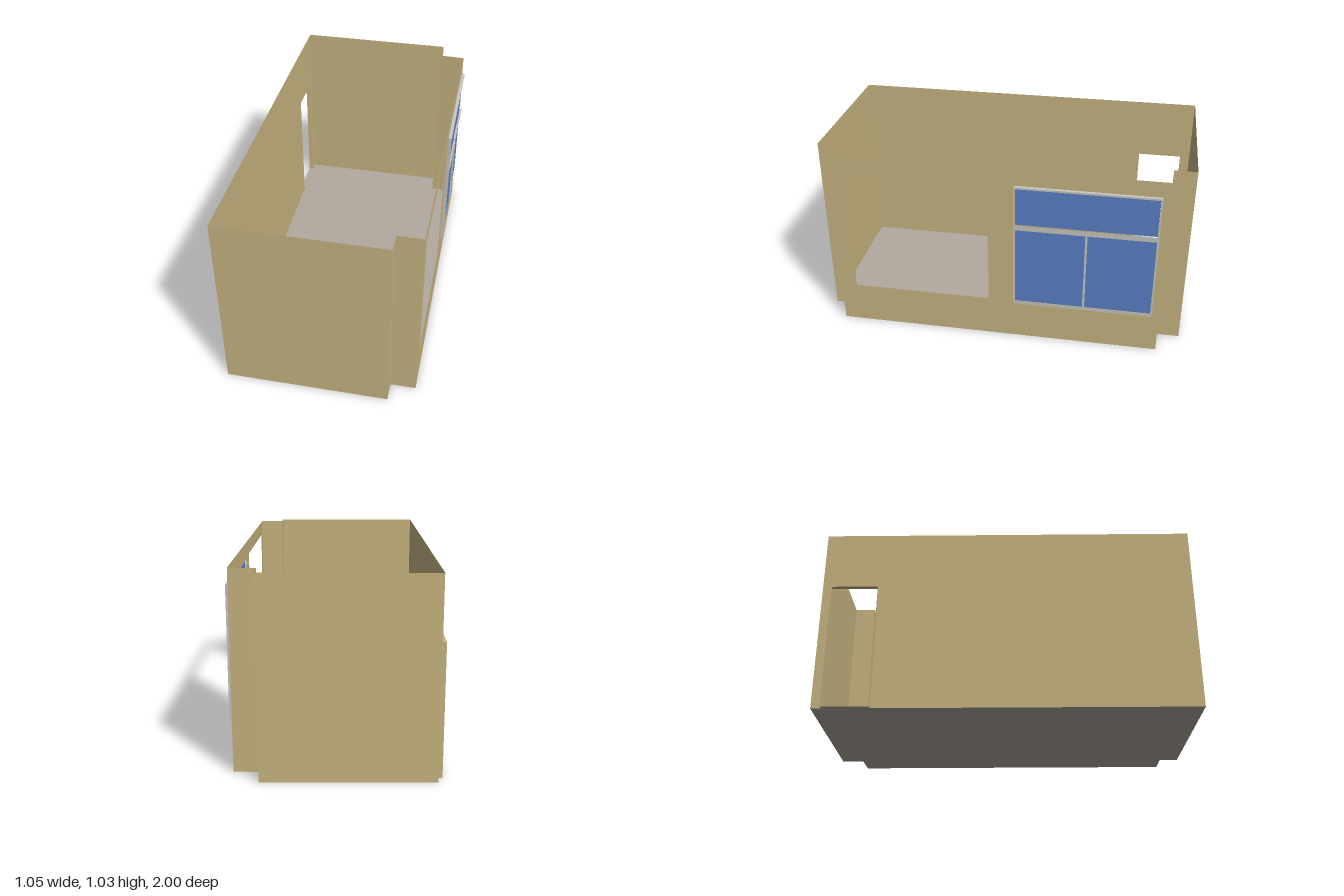
import * as THREE from 'three';

const H = 1.032; // wall height

export function createModel() {
  const room = new THREE.Group();
  room.name = 'room';
  const mat = (name, color, side = THREE.FrontSide) => {
    const m = new THREE.MeshStandardMaterial({ color, side });
    m.name = name;
    return m;
  };
  const wallMat = mat('wall tan', 0xc9b682, THREE.DoubleSide);
  const floorMat = mat('floor grey', 0xb3aaa0, THREE.DoubleSide);
  const frameMat = mat('frame grey', 0xc9c8c4);
  const glassMat = mat('glass blue', 0x5b82c9);

  const polygon = (pts) => new THREE.Shape(pts.map(([x, y]) => new THREE.Vector2(x, y)));
  const add = (name, geometry, material, parent = room) => {
    const mesh = new THREE.Mesh(geometry, material);
    mesh.name = name;
    parent.add(mesh);
    return mesh;
  };

  // Thin upright sheet from plan point a to b; openings are [start, end, bottom, top] along it
  const wall = (name, a, b, { height = H, openings = [] } = {}) => {
    const dx = b[0] - a[0], dz = b[1] - a[1], len = Math.hypot(dx, dz);
    const outline = [[0, 0]], holes = [];
    for (const [s, e, y0, y1] of openings) {
      if (y0 === 0) outline.push([s, 0], [s, y1], [e, y1], [e, 0]);
      else holes.push(polygon([[s, y0], [s, y1], [e, y1], [e, y0]]));
    }
    outline.push([len, 0], [len, height], [0, height]);
    const shape = polygon(outline);
    shape.holes = holes;
    const mesh = add(name, new THREE.ShapeGeometry(shape), wallMat);
    mesh.position.set(a[0], 0, a[1]);
    mesh.rotation.y = Math.atan2(-dz, dx);
  };

  // Room plan, with the window bay stepping out on +x and a door recess on -x
  const L = -0.502, M = 0.369, OUT = -0.528;
  const backBay = [0.507, -0.875], frontBay = [0.503, 0.898];
  const D0 = -0.947, D1 = -0.698, DH = 0.693;

  const floor = add('floor', new THREE.ShapeGeometry(polygon([
    [L, -1], [M, -1], [M, -0.88], backBay, frontBay, [M, 0.898], [M, 1], [L, 1],
    [L, D1], [OUT, D1], [OUT, D0], [L, D0],
  ])), floorMat);
  floor.rotation.x = Math.PI / 2;

  wall('frontWall', [L, 1], [M, 1]);
  wall('frontReturn', [M, 1], [M, 0.898]);
  wall('frontBayEnd', [M, 0.898], frontBay);
  wall('windowWall', backBay, frontBay, {
    openings: [[0.046, 0.784, 0.23, 0.943], [0.928, 1.687, 0.23, 0.949]],
  });
  wall('backBayEnd', [M, -0.88], backBay);
  wall('backReturn', [M, -1], [M, -0.88]);
  wall('backWall', [L, -1], [M, -1]);
  wall('doorWall', [L, -1], [L, 1], { openings: [[D0 + 1, D1 + 1, 0, DH]] });

  // Door surround: two side sheets and a lintel
  for (const z of [D0, D1]) wall('doorJamb', [OUT, z], [L, z], { height: DH });
  const lintel = add('doorLintel', new THREE.PlaneGeometry(L - OUT, D1 - D0), wallMat);
  lintel.rotation.x = -Math.PI / 2;
  lintel.position.set((L + OUT) / 2, DH, (D0 + D1) / 2);

  // Window: one frame plate with three panes cut out, and glass set back in it
  const windowGroup = new THREE.Group();
  windowGroup.name = 'window';
  room.add(windowGroup);
  const panes = [ // [z0, z1, y0, y1]
    [-0.828, -0.095, 0.722, 0.936],
    [-0.828, -0.474, 0.241, 0.694],
    [-0.463, -0.095, 0.241, 0.694],
  ];
  const rect = ([z0, z1, y0, y1]) => polygon([[-z0, y0], [-z1, y0], [-z1, y1], [-z0, y1]]);
  const frameShape = rect([-0.837, -0.087, 0.227, 0.946]);
  frameShape.holes = panes.map(rect);
  const frame = add('windowFrame',
    new THREE.ExtrudeGeometry(frameShape, { depth: 0.018, bevelEnabled: false }), frameMat, windowGroup);
  frame.rotation.y = Math.PI / 2;
  frame.position.x = 0.506;
  for (const [z0, z1, y0, y1] of panes) {
    const glass = add('windowPane', new THREE.BoxGeometry(0.004, y1 - y0, z1 - z0), glassMat, windowGroup);
    glass.position.set(0.511, (y0 + y1) / 2, (z0 + z1) / 2);
  }
  return room;
}
